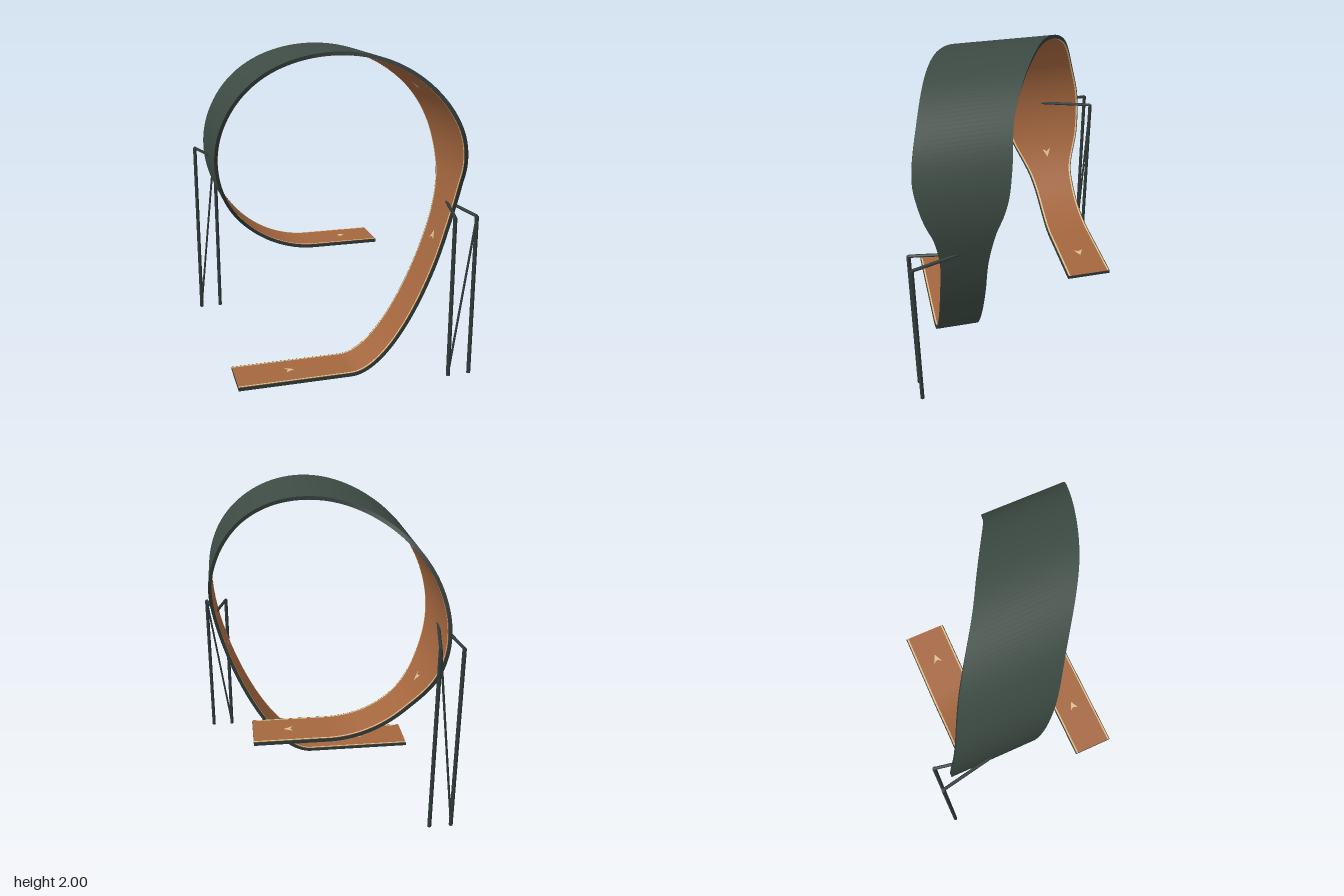
import * as THREE from 'three';

const HALF = 0.011; // half thickness of the track
const mat = (name, color, side = THREE.FrontSide) => {
  const m = new THREE.MeshStandardMaterial({ color, side });
  m.name = name;
  return m;
};

// Centre line seen from the front: flat entry, rising bend, loop, flat exit.
// u runs 0-1, 1-2, 2-5 and 5-6 over those pieces.
const rise = new THREE.CubicBezierCurve(
  new THREE.Vector2(0.03, 0.012), new THREE.Vector2(0.35, 0.012),
  new THREE.Vector2(0.7, 0.9), new THREE.Vector2(0.7, 1.287));

function path(u) {
  if (u <= 1) return new THREE.Vector2(-0.68 + 0.71 * u, 0.012);
  if (u <= 2) return rise.getPoint(u - 1);
  if (u <= 5) {
    const a = (u - 2) * Math.PI / 2;
    return new THREE.Vector2(0.008 + 0.692 * Math.cos(a), 1.287 + 0.702 * Math.sin(a));
  }
  return new THREE.Vector2(0.008 + 0.457 * (u - 5), 0.585);
}

// Sideways position and half width along the track: u, z, half width
const keys = [
  [0, 0.42, 0.14], [1, 0.42, 0.14], [1.6, 0.42, 0.14], [1.78, 0.418, 0.142], [1.94, 0.415, 0.182],
  [2, 0.415, 0.212], [2.11, 0.414, 0.25], [2.25, 0.41, 0.274], [2.52, 0.355, 0.272],
  [3, 0.138, 0.312], [3.47, -0.165, 0.315], [3.78, -0.295, 0.302], [4, -0.367, 0.287],
  [4.24, -0.398, 0.248], [4.49, -0.412, 0.156], [4.62, -0.42, 0.14], [5, -0.42, 0.14], [6, -0.42, 0.14],
];
const spread = new THREE.CubicInterpolant(
  keys.map(k => k[0]), keys.flatMap(k => [k[1], k[2]]), 2);

function station(u) {
  const e = 1e-3;
  const p = path(u);
  const t = path(Math.min(6, u + e)).sub(path(Math.max(0, u - e))).normalize();
  const [z, w] = spread.evaluate(u);
  return { p, t, n: new THREE.Vector2(-t.y, t.x), z, w };
}

// Sample positions: few on the straights, many on the bends
const samples = [0, 0.5];
for (let i = 0; i <= 180; i++) samples.push(1 + 4 * i / 180);
samples.push(5.5, 6);

// Strip between two rails, each given as [side, inset from edge, height over centre line]
function strip(railA, railB) {
  const pos = [], index = [];
  samples.forEach((u, i) => {
    const s = station(u);
    for (const [side, inset, h] of [railA, railB]) {
      pos.push(s.p.x + s.n.x * h, s.p.y + s.n.y * h, s.z + side * (s.w - inset));
    }
    if (i > 0) {
      const k = 2 * (i - 1);
      index.push(k, k + 2, k + 1, k + 1, k + 2, k + 3);
    }
  });
  const g = new THREE.BufferGeometry();
  g.setAttribute('position', new THREE.Float32BufferAttribute(pos, 3));
  g.setIndex(index);
  g.computeVertexNormals();
  return g;
}

// Round bar between two points
function bar(a, b, r, material, name) {
  const d = b.clone().sub(a);
  const m = new THREE.Mesh(new THREE.CylinderGeometry(r, r, d.length(), 10), material);
  m.position.copy(a).add(b).multiplyScalar(0.5);
  m.quaternion.setFromUnitVectors(new THREE.Vector3(0, 1, 0), d.normalize());
  m.name = name;
  return m;
}

export function createModel() {
  const root = new THREE.Group();
  root.name = 'loopTrack';
  const shell = mat('darkGreenShell', 0x3d4b44);
  const deck = mat('orangeDeck', 0xa5673f);
  const cream = mat('creamMarking', 0xdcc08c, THREE.DoubleSide);
  const steel = mat('darkSteel', 0x2f3a38);
  const add = (geometry, material, name) => {
    const m = new THREE.Mesh(geometry, material);
    m.name = name;
    root.add(m);
    return m;
  };

  // Track body: underside and both edges
  add(strip([-1, 0, -HALF], [1, 0, -HALF]), shell, 'trackUnderside');
  add(strip([1, 0, -HALF], [1, 0, HALF]), steel, 'trackFrontEdge');
  add(strip([-1, 0, HALF], [-1, 0, -HALF]), steel, 'trackBackEdge');
  for (const [u, dir] of [[0, -1], [6, 1]]) {
    const s = station(u);
    const cap = add(new THREE.PlaneGeometry(2 * s.w, 2 * HALF), steel, 'trackEnd');
    cap.position.set(s.p.x, s.p.y, s.z);
    cap.rotation.y = dir * Math.PI / 2;
  }

  // Driving surface with a dark lip and a cream line along each edge
  add(strip([1, 0.004, HALF], [-1, 0.004, HALF]), deck, 'drivingSurface');
  for (const side of [-1, 1]) {
    const outer = [side, 0, HALF], inner = [side, 0.004, HALF];
    add(side > 0 ? strip(outer, inner) : strip(inner, outer), steel, 'trackLip');
    const a = [side, 0.006, HALF + 0.002], b = [side, 0.016, HALF + 0.002];
    add(side > 0 ? strip(a, b) : strip(b, a), cream, 'edgeLine');
  }

  // Direction arrows
  const arrow = new THREE.ShapeGeometry(new THREE.Shape([
    new THREE.Vector2(0.03, 0), new THREE.Vector2(-0.03, 0.029),
    new THREE.Vector2(-0.013, 0), new THREE.Vector2(-0.03, -0.029),
  ]));
  for (const u of [0.49, 1.7, 2.51, 3.44, 4.37, 5.52]) {
    const s = station(u), next = station(u + 0.01);
    const n = new THREE.Vector3(s.n.x, s.n.y, 0);
    const d = next.p.clone().sub(s.p).length();
    const t = new THREE.Vector3(s.t.x, s.t.y, (next.z - s.z) / d).normalize();
    const m = add(arrow, cream, 'directionArrow');
    m.quaternion.setFromRotationMatrix(
      new THREE.Matrix4().makeBasis(t, n.clone().cross(t), n));
    m.position.set(s.p.x, s.p.y, s.z).addScaledVector(n, HALF + 0.004);
  }

  // Support frames: two legs, a thin diagonal brace and two arms meeting at the track
  const supports = [
    { name: 'frontSupport', x0: 0.605, x1: 0.743, z: 0.733, top: 1.045, tip: [0.675, 1.065, 0.44] },
    { name: 'backSupport', x0: -0.748, x1: -0.61, z: -0.733, top: 1.235, tip: [-0.685, 1.257, -0.37] },
  ];
  for (const { name, x0, x1, z, top, tip } of supports) {
    const g = new THREE.Group();
    g.name = name;
    const v = (x, y) => new THREE.Vector3(x, y, z);
    for (const x of [x0, x1]) {
      g.add(bar(v(x, 0.02), v(x, top), 0.0125, steel, 'leg'));
      g.add(bar(v(x, top), new THREE.Vector3(...tip), 0.01, steel, 'arm'));
    }
    g.add(bar(v(x0, 0.03), v(x1, top), 0.007, steel, 'brace'));
    root.add(g);
  }
  return root;
}
